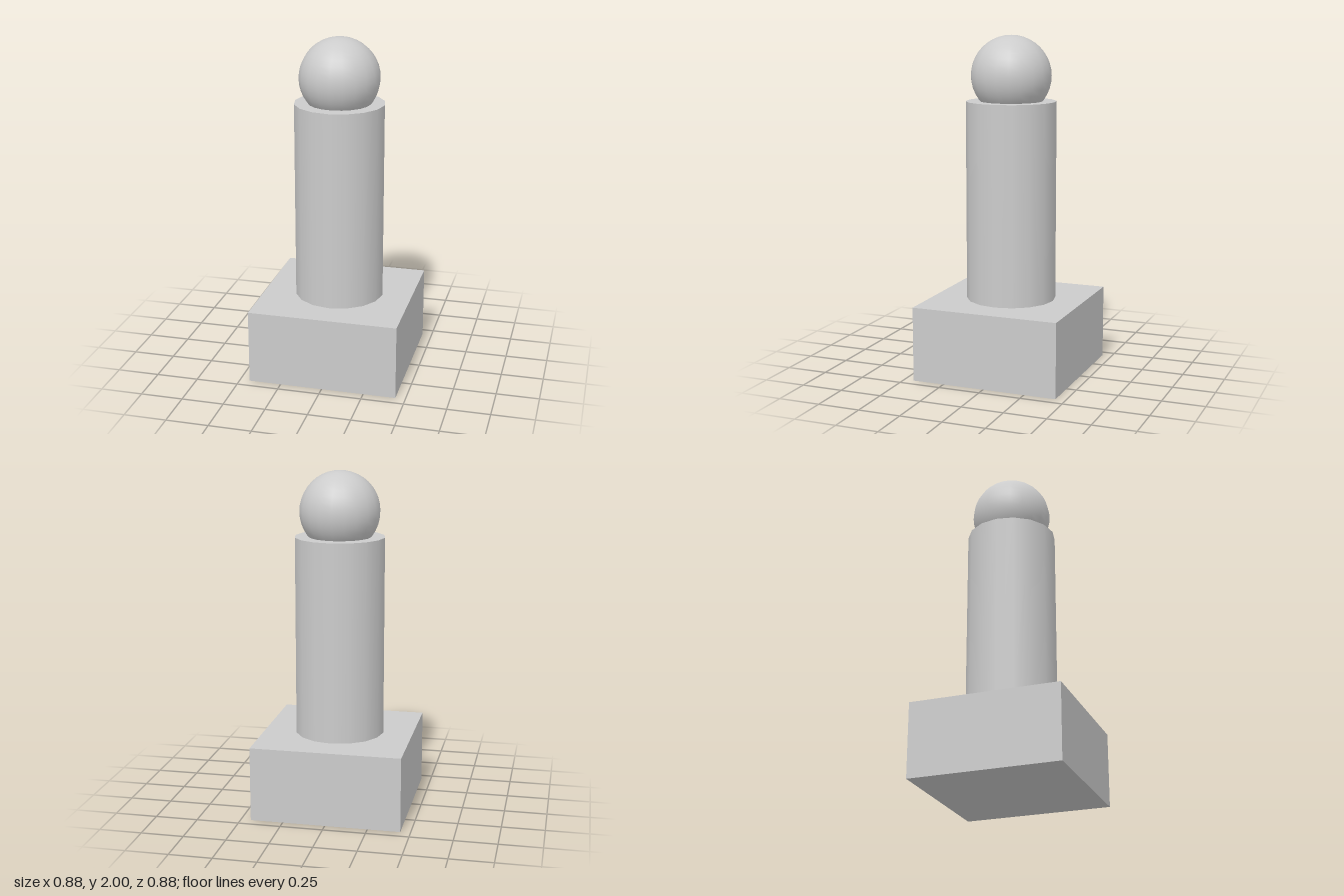
import * as THREE from 'three';

// Overall scale: total height 3.4 design units becomes 2
const S = 2 / 3.4;

export function createModel() {
  const model = new THREE.Group();
  model.name = 'pillarWithBall';
  const material = new THREE.MeshStandardMaterial({ color: 0xcccccc });

  const add = (name, geometry, y) => {
    const mesh = new THREE.Mesh(geometry, material);
    mesh.name = name;
    mesh.position.y = y * S;
    model.add(mesh);
  };

  // Square base block
  add('base', new THREE.BoxGeometry(1.5 * S, 0.75 * S, 1.5 * S), 0.375);
  // Sixteen-sided column standing on the base
  add('column', new THREE.CylinderGeometry(0.45 * S, 0.45 * S, 2 * S, 16), 1.75);
  // Ball partly sunk into the column top
  add('ball', new THREE.SphereGeometry(0.4 * S, 20, 20), 3);

  return model;
}
